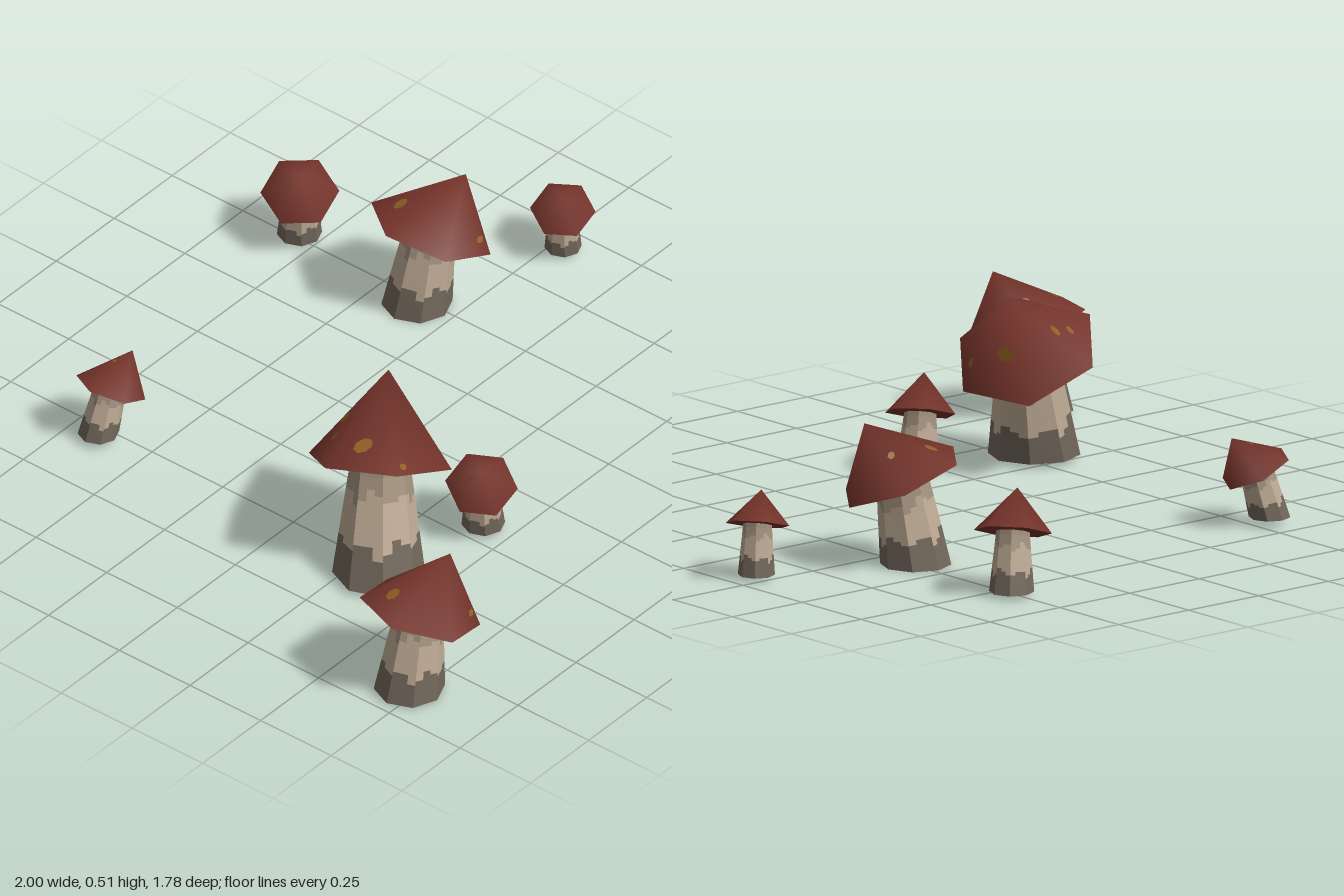
import * as THREE from 'three';

const mat = (name, color) => {
  const m = new THREE.MeshStandardMaterial({ color });
  m.name = name;
  return m;
};

// Each mushroom: cap centre c, cap radius r, turn in degrees, rim slope along x and z,
// cone height h, foot position and radius, neck radius, spots [angle, distance from tip, size]
const midSpots = [[217, 0.73, 0.022], [285, 0.5, 0.013], [14, 0.5, 0.014], [70, 0.8, 0.014]];
const smallSpots = [[215, 0.35, 0.007]];
const mushrooms = [
  { name: 'largeMushroom', c: [-0.46, 0.318, 0.275], r: 0.205, turn: 8, slope: [-0.44, 0.27], h: 0.192,
    foot: [-0.53, 0.013, 0.325], footR: 0.127, neckR: 0.086,
    spots: [[155, 0.75, 0.03], [211, 0.74, 0.016], [228, 0.56, 0.019], [112, 0.92, 0.014], [14, 0.8, 0.02], [322, 0.55, 0.028]] },
  { name: 'frontRightMushroom', c: [-0.84, 0.245, 0.727], r: 0.165, turn: -12, slope: [-0.33, -0.13], h: 0.162,
    foot: [-0.877, 0.004, 0.72], footR: 0.098, neckR: 0.068, spots: midSpots },
  { name: 'leftMushroom', c: [0.515, 0.245, -0.347], r: 0.17, turn: 7, slope: [-0.35, -0.19], h: 0.157,
    foot: [0.483, 0, -0.37], footR: 0.098, neckR: 0.071, spots: midSpots },
  { name: 'smallFrontMushroom', c: [-0.206, 0.16, 0.424], r: 0.1, turn: -3, slope: [0.3, -0.26], h: 0.1,
    foot: [-0.187, 0.013, 0.415], footR: 0.06, neckR: 0.045, spots: smallSpots },
  { name: 'smallLeftMushroom', c: [0.908, 0.148, -0.203], r: 0.09, turn: -5, slope: [0.28, -0.22], h: 0.086,
    foot: [0.92, 0.011, -0.212], footR: 0.051, neckR: 0.04, spots: smallSpots },
  { name: 'smallBackMushroom', c: [0.49, 0.172, -0.79], r: 0.108, turn: -11, slope: [0.3, -0.25], h: 0.108,
    foot: [0.51, 0.011, -0.808], footR: 0.062, neckR: 0.047, spots: smallSpots },
  { name: 'smallRightMushroom', c: [-0.507, 0.158, -0.64], r: 0.095, turn: -2, slope: [-0.45, -0.12], h: 0.095,
    foot: [-0.545, 0.02, -0.653], footR: 0.057, neckR: 0.044, spots: smallSpots },
];

export function createModel() {
  const capRed = mat('capRed', 0x74332a);
  const spotGold = mat('spotGold', 0x8f6022);
  const cream = mat('stemCream', 0xbfab95);
  const tan = mat('stemTan', 0xa4937f);
  const earth = mat('stemEarth', 0x72675b);

  const add = (group, name, geometry, material) => {
    const mesh = new THREE.Mesh(geometry, material);
    mesh.name = name;
    group.add(mesh);
    return mesh;
  };
  const fromPoints = (points, index) => {
    const g = new THREE.BufferGeometry().setFromPoints(points);
    g.setIndex(index);
    g.computeVertexNormals();
    return g;
  };

  // Six-sided leaning cone with a flat underside and thin spots
  function addCap(group, s) {
    const center = new THREE.Vector3(...s.c);
    const rim = [];
    for (let i = 0; i < 6; i++) {
      const a = THREE.MathUtils.degToRad(s.turn + i * 60);
      const x = Math.cos(a) * s.r, z = Math.sin(a) * s.r;
      rim.push(new THREE.Vector3(x, s.slope[0] * x + s.slope[1] * z, z).add(center));
    }
    const lean = 1.65 * s.h;
    const tip = new THREE.Vector3(-s.slope[0] * lean, s.h, -s.slope[1] * lean).add(center);
    const top = [], under = [];
    for (let i = 0; i < 6; i++) {
      const a = i + 1, b = (i + 1) % 6 + 1;
      top.push(0, b, a);
      under.push(0, a, b);
    }
    add(group, 'cap', fromPoints([tip, ...rim], top), capRed);
    add(group, 'capUnderside', fromPoints([center, ...rim], under), capRed);

    for (const [angle, t, size] of s.spots) {
      const i = Math.floor(angle / 60), p = rim[i], q = rim[(i + 1) % 6];
      const normal = q.clone().sub(tip).cross(p.clone().sub(tip)).normalize();
      const spot = add(group, 'capSpot', new THREE.CircleGeometry(size, 7), spotGold);
      spot.scale.y = 0.75;
      spot.position.copy(tip).lerp(p.clone().lerp(q, (angle % 60) / 60), t).addScaledVector(normal, 0.002);
      spot.quaternion.setFromUnitVectors(new THREE.Vector3(0, 0, 1), normal);
    }
  }

  // Eight-sided tapering stem with ragged colour bands, cut to meet the cap
  function addStem(group, s) {
    const cols = 24, rows = 20;
    const g = new THREE.CylinderGeometry(1, 1, 1, cols, rows, true);
    const pos = g.attributes.position;
    for (let i = 0; i < pos.count; i++) {
      const t = pos.getY(i) + 0.5;
      const a = Math.atan2(pos.getX(i), pos.getZ(i)) + Math.PI * 2;
      const side = Math.PI / 4;
      const octagon = Math.cos(side / 2) / Math.cos((a + 1e-6) % side - side / 2);
      const r = octagon * THREE.MathUtils.lerp(s.footR, s.neckR, Math.min(1, t * 1.1));
      const x = Math.sin(a) * r, z = Math.cos(a) * r;
      const cx = THREE.MathUtils.lerp(s.foot[0], s.c[0], t);
      const cz = THREE.MathUtils.lerp(s.foot[2], s.c[2], t);
      const neckY = s.c[1] + s.slope[0] * x + s.slope[1] * z + 0.004;
      pos.setXYZ(i, cx + x, THREE.MathUtils.lerp(s.foot[1], neckY, t), cz + z);
    }
    // Sort the faces into earth, cream and tan bands
    const ragged = [0, 0, 0.05, 0.05, -0.05, 0, 0.1, 0.05];
    const source = Array.from(g.index.array);
    const bands = [[], [], []];
    for (let c = 0; c < cols; c++) {
      for (let row = 0; row < rows; row++) {
        const t = 1 - (row + 0.5) / rows;
        const band = t < 0.3 + ragged[c % 8] ? 0 : t < 0.68 + ragged[(c + 3) % 8] ? 1 : 2;
        const k = (c * rows + row) * 6;
        bands[band].push(...source.slice(k, k + 6));
      }
    }
    g.setIndex(bands.flat());
    g.clearGroups();
    let start = 0;
    bands.forEach((b, i) => {
      g.addGroup(start, b.length, i);
      start += b.length;
    });
    const flat = g.toNonIndexed();
    flat.computeVertexNormals();
    add(group, 'stem', flat, [earth, cream, tan]);

    // Closed foot with a pale centre
    const disc = (name, r, y, material) => {
      const d = add(group, name, new THREE.CircleGeometry(r, 8), material);
      d.rotation.x = Math.PI / 2;
      d.position.set(s.foot[0], y, s.foot[2]);
    };
    disc('stemFoot', s.footR, s.foot[1] + 0.001, earth);
    disc('stemFootCentre', s.footR * 0.4, s.foot[1], cream);
  }

  const model = new THREE.Group();
  model.name = 'mushroomCluster';
  for (const s of mushrooms) {
    const group = new THREE.Group();
    group.name = s.name;
    addCap(group, s);
    addStem(group, s);
    model.add(group);
  }
  return model;
}
